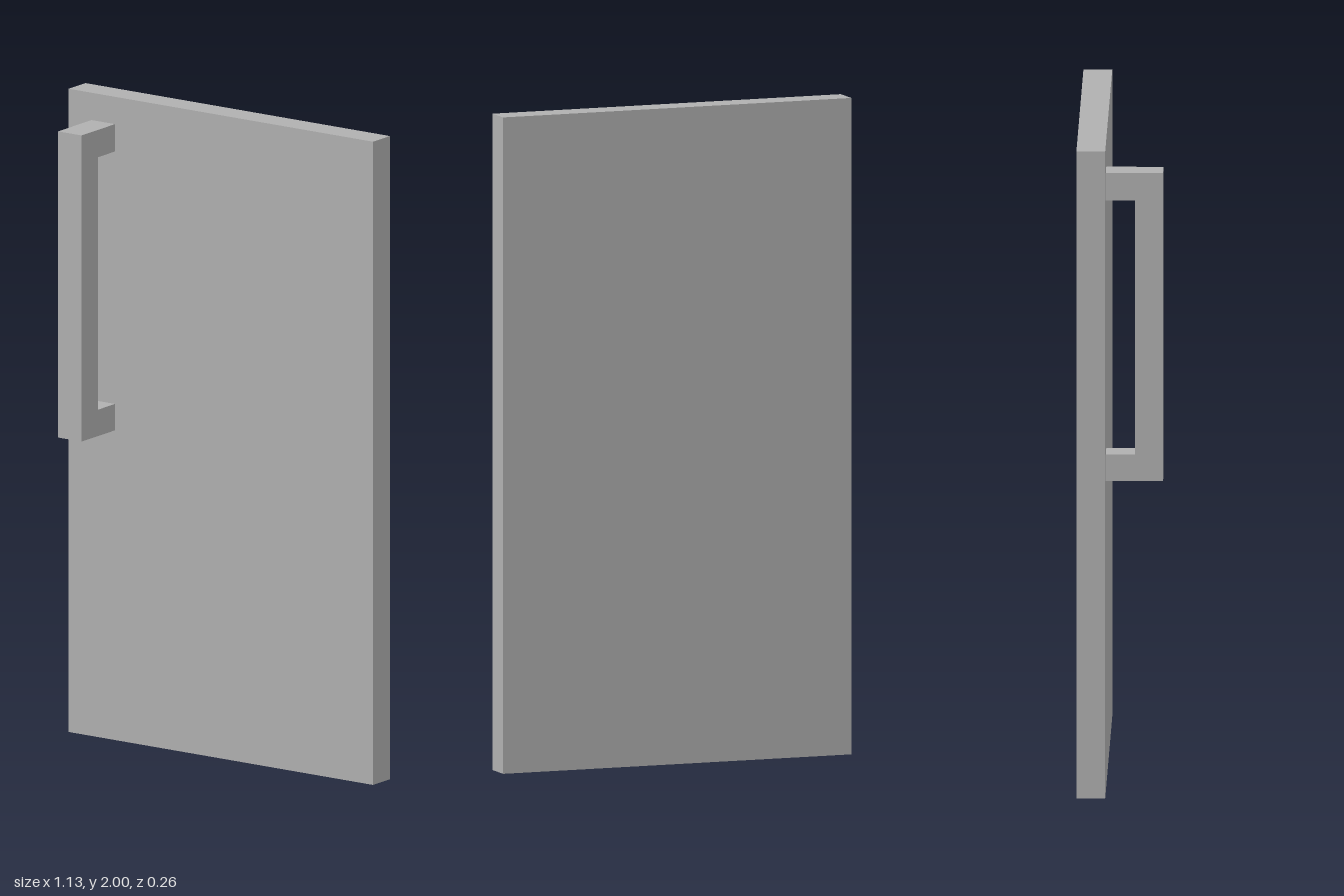
import * as THREE from 'three';

export function createModel() {
  const model = new THREE.Group();
  model.name = 'cabinetDoor';

  const grey = new THREE.MeshStandardMaterial({ color: 0xb0b0b0 });
  grey.name = 'plain grey';

  const back = -0.13, face = -0.043; // z of the panel's two sides

  // Flat door panel
  const panel = new THREE.Mesh(new THREE.BoxGeometry(1.13, 2, face - back), grey);
  panel.name = 'doorPanel';
  panel.position.set(0, 1, (face + back) / 2);
  model.add(panel);

  // Square-section pull handle: C-shaped side profile (z, y) extruded across x
  const profile = new THREE.Shape([
    [face, 0.963], [0.13, 0.963], [0.13, 1.915], [face, 1.915],
    [face, 1.83], [0.045, 1.83], [0.045, 1.045], [face, 1.045],
  ].map(([z, y]) => new THREE.Vector2(z, y)));
  const handleGeometry = new THREE.ExtrudeGeometry(profile, { depth: 0.087, bevelEnabled: false });
  handleGeometry.rotateY(-Math.PI / 2);
  const handle = new THREE.Mesh(handleGeometry, grey);
  handle.name = 'pullHandle';
  handle.position.x = -0.393;
  model.add(handle);

  return model;
}
